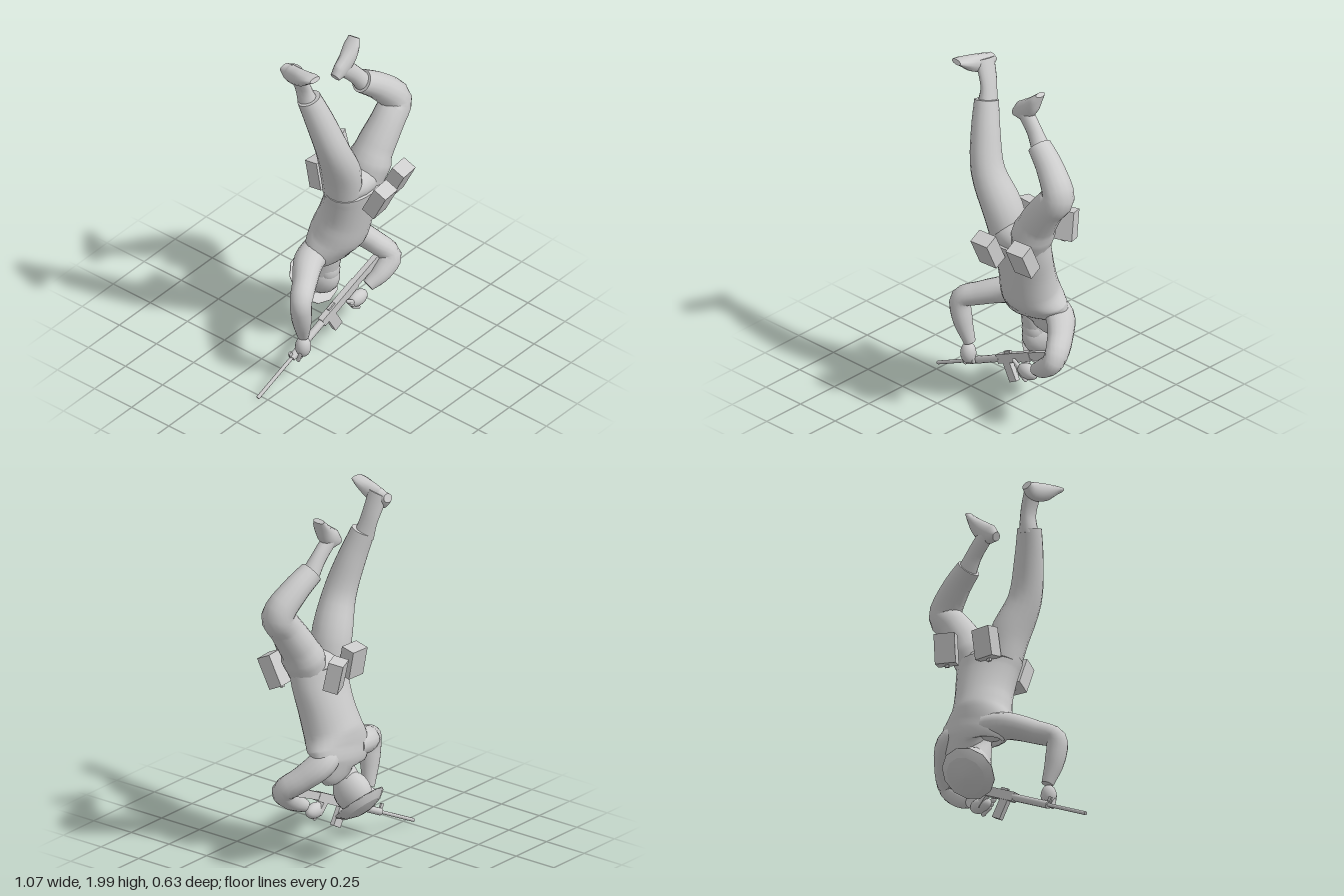
import * as THREE from 'three';

const V = (x, y, z) => new THREE.Vector3(x, y, z);

// Lofts elliptical rings along a smooth path. Section: [x, y, z, radius along ref, radius across]
function loft(sections, { ref = V(0, 0, 1), sides = 16, steps = 4 } = {}) {
  const curve = new THREE.CatmullRomCurve3(sections.map(s => V(s[0], s[1], s[2])));
  const radii = new THREE.CatmullRomCurve3(sections.map(s => V(s[3], s[4] ?? s[3], 0)));
  const n = (sections.length - 1) * steps;
  const pos = [], idx = [];
  const ring = t => {
    const c = curve.getPoint(t), r = radii.getPoint(t), tan = curve.getTangent(t);
    const u = ref.clone().addScaledVector(tan, -ref.dot(tan)).normalize();
    const v = tan.clone().cross(u);
    for (let j = 0; j < sides; j++) {
      const a = (j / sides) * Math.PI * 2;
      const p = c.clone().addScaledVector(u, Math.cos(a) * r.x).addScaledVector(v, Math.sin(a) * r.y);
      pos.push(p.x, p.y, p.z);
    }
    return c;
  };
  for (let i = 0; i <= n; i++) ring(i / n);
  for (let i = 0; i < n; i++) {
    for (let j = 0; j < sides; j++) {
      const k = (j + 1) % sides;
      const a = i * sides + j, b = i * sides + k, c = a + sides, d = b + sides;
      idx.push(a, b, c, b, d, c);
    }
  }
  // Flat end caps with their own vertices
  for (const end of [0, 1]) {
    const start = pos.length / 3;
    const c = ring(end);
    const mid = pos.length / 3;
    pos.push(c.x, c.y, c.z);
    for (let j = 0; j < sides; j++) {
      const a = start + j, b = start + ((j + 1) % sides);
      if (end) idx.push(mid, a, b); else idx.push(mid, b, a);
    }
  }
  const g = new THREE.BufferGeometry();
  g.setAttribute('position', new THREE.Float32BufferAttribute(pos, 3));
  g.setIndex(idx);
  g.computeVertexNormals();
  return g;
}

export function createModel() {
  const model = new THREE.Group();
  model.name = 'upsideDownSoldier';
  const grey = new THREE.MeshStandardMaterial({ color: 0xcccccc, side: THREE.DoubleSide });
  grey.name = 'plain grey';

  const add = (name, geometry, parent = model) => {
    const mesh = new THREE.Mesh(geometry, grey);
    mesh.name = name;
    parent.add(mesh);
    return mesh;
  };
  const ball = (name, p, s, parent) => {
    const m = add(name, new THREE.SphereGeometry(1, 18, 12), parent);
    m.position.set(...p);
    m.scale.set(...s);
    return m;
  };
  const box = (name, size, p, parent) => {
    const m = add(name, new THREE.BoxGeometry(...size), parent);
    m.position.set(...p);
    return m;
  };

  // Jacket, from hem down to collar, widening into the shoulders
  add('jacket', loft([
    [0.145, 1.075, 0.045, 0.124, 0.192], [0.15, 1.0, 0.03, 0.125, 0.18],
    [0.145, 0.85, -0.01, 0.135, 0.162], [0.135, 0.74, -0.043, 0.142, 0.17],
    [0.135, 0.66, -0.075, 0.12, 0.205], [0.145, 0.6, -0.1, 0.095, 0.2],
    [0.15, 0.55, -0.105, 0.07, 0.16], [0.13, 0.515, -0.105, 0.045, 0.06],
  ], { sides: 24 }));
  ball('pelvis', [0.145, 1.08, 0.045], [0.17, 0.09, 0.115]);

  // Trousers
  add('rightTrouserLeg', loft([
    [0.06, 1.06, 0.035, 0.105, 0.1], [0.028, 1.2, 0.05, 0.112, 0.102],
    [-0.06, 1.4, 0.07, 0.092, 0.087], [-0.115, 1.6, 0.03, 0.076, 0.077],
    [-0.152, 1.75, -0.015, 0.064, 0.064],
  ]));
  add('leftTrouserLeg', loft([
    [0.22, 1.06, 0.05, 0.105, 0.1], [0.28, 1.2, 0.06, 0.105, 0.1],
    [0.38, 1.35, 0.075, 0.09, 0.09], [0.447, 1.44, 0.07, 0.086, 0.087],
    [0.36, 1.555, 0.035, 0.074, 0.074], [0.25, 1.64, 0.005, 0.063, 0.063],
  ]));

  // Shins and boots
  add('rightShin', loft([
    [-0.15, 1.72, -0.02, 0.056, 0.05], [-0.165, 1.82, -0.045, 0.052, 0.033],
    [-0.215, 1.95, -0.065, 0.06, 0.035],
  ]));
  add('leftShin', loft([
    [0.26, 1.63, 0.005, 0.05], [0.205, 1.705, -0.005, 0.038, 0.045], [0.125, 1.79, -0.015, 0.034, 0.048],
  ]));
  add('rightBoot', loft([
    [-0.215, 1.938, -0.128, 0.024, 0.03], [-0.22, 1.922, -0.08, 0.053, 0.038],
    [-0.235, 1.94, 0, 0.047, 0.042], [-0.245, 1.97, 0.07, 0.026, 0.046],
    [-0.25, 1.985, 0.11, 0.013, 0.036],
  ], { ref: V(0, 1, 0), sides: 12 }));
  add('leftBoot', loft([
    [0.06, 1.762, -0.015, 0.024, 0.028], [0.103, 1.785, -0.015, 0.053, 0.035],
    [0.16, 1.83, -0.015, 0.049, 0.042], [0.202, 1.887, -0.02, 0.028, 0.046],
    [0.227, 1.925, -0.025, 0.014, 0.034],
  ], { ref: V(-0.66, 0.7, 0).normalize(), sides: 12 }));

  // Sleeves
  add('rightSleeve', loft([
    [0.06, 0.64, -0.1, 0.085, 0.075], [-0.07, 0.62, -0.08, 0.082, 0.07],
    [-0.19, 0.58, -0.01, 0.065, 0.062], [-0.28, 0.535, 0.04, 0.06, 0.056],
    [-0.275, 0.42, 0.04, 0.055, 0.052], [-0.24, 0.28, 0.02, 0.033, 0.03],
  ]));
  add('leftSleeve', loft([
    [0.22, 0.66, -0.09, 0.065, 0.06], [0.29, 0.61, -0.1, 0.082, 0.066],
    [0.365, 0.53, -0.03, 0.07, 0.06], [0.41, 0.445, 0.065, 0.062, 0.058],
    [0.34, 0.375, 0.065, 0.052, 0.052], [0.26, 0.325, 0.04, 0.034, 0.034],
  ]));

  // Hands with curled fingers
  ball('rightHand', [-0.245, 0.215, 0.025], [0.042, 0.06, 0.042]);
  ball('leftHand', [0.19, 0.28, 0.03], [0.066, 0.042, 0.038]);
  for (let i = 0; i < 4; i++) {
    const right = add('rightFinger', new THREE.CapsuleGeometry(0.011, 0.05, 3, 8));
    right.position.set(-0.275 + i * 0.02, 0.165 + i * 0.009, 0.025);
    right.rotation.x = 0.3;
    const left = add('leftFinger', new THREE.CapsuleGeometry(0.011, 0.05, 3, 8));
    left.position.set(0.12 + i * 0.014, 0.3 - i * 0.019, 0.04);
    left.rotation.z = 1.0;
  }

  // Head and hat share one tilted axis, crown pointing down and back
  add('neck', loft([
    [0.11, 0.59, -0.08, 0.05], [0.108, 0.535, -0.085, 0.054, 0.06], [0.105, 0.44, -0.125, 0.078, 0.072],
  ]));
  const head = new THREE.Group();
  head.name = 'head';
  head.position.set(0.107, 0.352, -0.2);
  head.quaternion.setFromUnitVectors(V(0, 1, 0), V(0, -0.73, -0.68).normalize());
  model.add(head);
  ball('skull', [0, -0.07, 0], [0.085, 0.115, 0.112], head);
  ball('jaw', [0.107, 0.455, -0.09], [0.062, 0.075, 0.05]);
  const hat = (name, profile) =>
    add(name, new THREE.LatheGeometry(profile.map(p => new THREE.Vector2(...p)), 12), head);
  hat('hatBrim', [[0.088, -0.002], [0.148, -0.008], [0.148, 0], [0.108, 0.032]]);
  hat('hatCrown', [[0.108, 0.032], [0.047, 0.052], [0, 0.055]]);

  // Belt pouches: [x, y, z, tilt about x, turn about y, height]
  const pouches = [
    [0.11, 1.07, 0.24, 0.45, 0.08, 0.175], [0.315, 1.07, 0.19, 0.45, 0.1, 0.175],
    [0.27, 1.115, -0.165, -0.2, 0.4, 0.16], [0.055, 1.115, -0.105, -0.2, -0.05, 0.16],
  ];
  for (const [x, y, z, tilt, turn, h] of pouches) {
    const pouch = new THREE.Group();
    pouch.name = 'beltPouch';
    pouch.position.set(x, y, z);
    pouch.rotation.set(tilt, turn, 0, 'YXZ');
    model.add(pouch);
    box('pouchBody', [0.11, h, 0.07], [0, 0, 0], pouch);
    const side = z > 0 ? 1 : -1;
    box('pouchFlap', [0.11, h, 0.012], [0, 0, side * 0.04], pouch);
    box('pouchTab', [0.02, 0.016, 0.016], [0, -h * 0.5 - 0.006, 0], pouch);
  }

  // Rifle, built along local x from the muzzle to the butt
  const rifle = new THREE.Group();
  rifle.name = 'rifle';
  rifle.position.set(-0.53, 0.012, -0.043);
  rifle.quaternion.setFromUnitVectors(V(1, 0, 0), V(0.9, 0.44, 0.065).normalize());
  model.add(rifle);
  const rod = (name, from, to, r, sides = 10) => {
    const m = add(name, new THREE.CylinderGeometry(r, r, to - from, sides), rifle);
    m.rotation.z = Math.PI / 2;
    m.position.x = (from + to) / 2;
  };
  rod('barrel', 0, 0.32, 0.01);
  rod('handguard', 0.28, 0.54, 0.02);
  box('frontSight', [0.02, 0.045, 0.01], [0.285, 0.022, 0], rifle);
  box('receiver', [0.28, 0.05, 0.034], [0.67, 0, 0], rifle);
  box('rearSight', [0.05, 0.015, 0.014], [0.62, 0.03, 0], rifle);
  box('magazine', [0.058, 0.115, 0.026], [0.596, -0.072, 0], rifle).rotation.z = 0.06;
  box('pistolGrip', [0.03, 0.075, 0.026], [0.75, -0.055, 0], rifle).rotation.z = 0.3;
  const stock = new THREE.Shape([[0.8, 0.022], [1.0, 0.018], [1.0, -0.03], [0.8, -0.018]].map(p => new THREE.Vector2(...p)));
  add('stock', new THREE.ExtrudeGeometry(stock, { depth: 0.03, bevelEnabled: false }).translate(0, 0, -0.015), rifle);

  return model;
}
